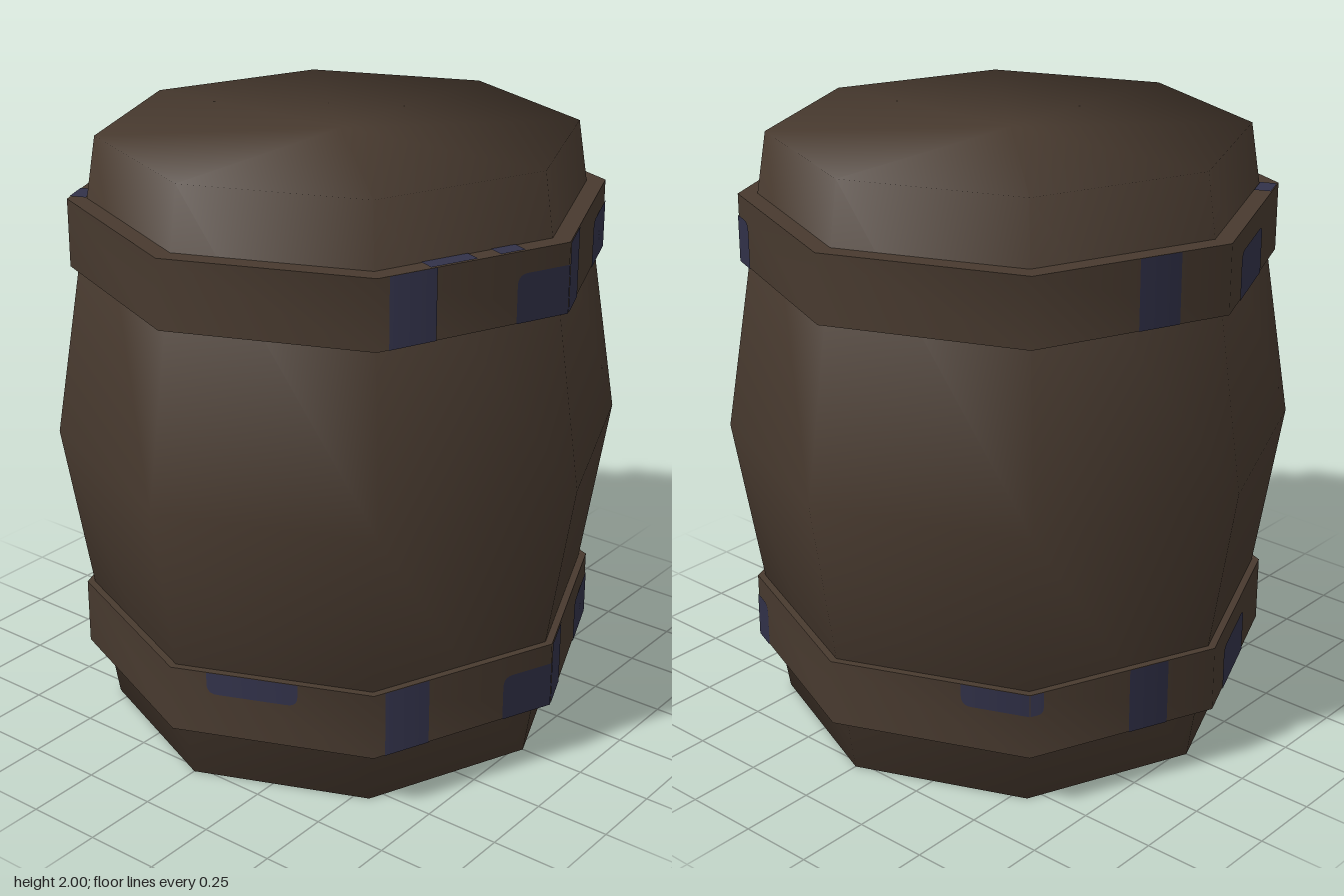
import * as THREE from 'three';
import { mergeVertices, toCreasedNormals } from 'three/addons/utils/BufferGeometryUtils.js';

const SIDES = 8;
const BAND_R = 0.87;
const HALF = Math.PI / SIDES;
const APOTHEM = BAND_R * Math.cos(HALF);
const WIDTH = 2 * BAND_R * Math.sin(HALF);

const wood = new THREE.MeshStandardMaterial({ color: 0x483a2f });
wood.name = 'dark wood';
const blue = new THREE.MeshStandardMaterial({ color: 0x32324a });
blue.name = 'navy patch';

// Eight-sided lathe with a corner on +z, welded so normals can be rebuilt
function octagonLathe(profile) {
  const points = profile.map(([r, y]) => new THREE.Vector2(r, y));
  const geo = new THREE.LatheGeometry(points, SIDES);
  geo.deleteAttribute('normal');
  geo.deleteAttribute('uv');
  const welded = mergeVertices(geo, 1e-4);
  welded.computeVertexNormals();
  return welded;
}

function addMesh(parent, name, geo, material) {
  const mesh = new THREE.Mesh(geo, material);
  mesh.name = name;
  parent.add(mesh);
  return mesh;
}

// Upright patch on one band facet; f0..f1 runs along the facet,
// round lists the rounded corners: tl, tr, bl, br
function facetPatch(f0, f1, y0, y1, round) {
  const a = (f0 - 0.5) * WIDTH, b = (f1 - 0.5) * WIDTH;
  const size = (corner) => (round.includes(corner) ? Math.min(0.035, (b - a) * 0.45) : 0);
  const [bl, br, tr, tl] = ['bl', 'br', 'tr', 'tl'].map(size);
  const s = new THREE.Shape();
  s.moveTo(a + bl, y0);
  s.lineTo(b - br, y0);
  if (br) s.quadraticCurveTo(b, y0, b, y0 + br);
  s.lineTo(b, y1 - tr);
  if (tr) s.quadraticCurveTo(b, y1, b - tr, y1);
  s.lineTo(a + tl, y1);
  if (tl) s.quadraticCurveTo(a, y1, a, y1 - tl);
  s.lineTo(a, y0 + bl);
  if (bl) s.quadraticCurveTo(a, y0, a + bl, y0);
  const geo = new THREE.ShapeGeometry(s, 5);
  // Bend the normals to follow the smooth shading of the band
  const pos = geo.attributes.position, normal = geo.attributes.normal;
  for (let i = 0; i < pos.count; i++) {
    const angle = (pos.getX(i) / (WIDTH / 2)) * HALF;
    normal.setXYZ(i, Math.sin(angle), 0, Math.cos(angle));
  }
  return geo.translate(0, 0, APOTHEM + 0.003);
}

// [facet, start, end, bottom, top, rounded corners], heights from the band's foot
const H = 0.225, LOW = 0.155, HIGH = 0.15;
const sharedPatches = [
  [1, 0.06, 0.30, 0, H, []],
  [1, 0.72, 1, 0, LOW, ['tl']],
  [2, 0, 0.23, 0, H, []],
  [2, 0.65, 1, 0, LOW, ['tl']],
  [3, 0, 0.14, 0, LOW, ['tr']],
  [5, 0.53, 0.74, 0, H, []],
  [6, 0.20, 0.63, 0, LOW, ['tl', 'tr']],
];
const lowerPatches = [
  [0, 0.18, 0.63, HIGH, H, ['bl', 'br']],
  [4, 0.66, 1, HIGH, H, ['bl']],
  [5, 0, 0.07, HIGH, H, ['br']],
];
// [facet, start, end] on the top ledge of the upper band
const ledgePatches = [[1, 0.27, 0.51], [1, 0.63, 0.76], [6, 0.83, 0.97]];

function makeBand(name, foot, patches, ledges) {
  const band = new THREE.Group();
  band.name = name;
  band.position.y = foot;
  const ring = octagonLathe([[0.76, 0], [BAND_R, 0], [BAND_R, H], [0.76, H]]);
  addMesh(band, 'bandRing', toCreasedNormals(ring, Math.PI / 3), wood);
  for (const [facet, f0, f1, y0, y1, round] of patches) {
    const patch = addMesh(band, 'bandPatch', facetPatch(f0, f1, y0, y1, round), blue);
    patch.rotation.y = (2 * facet + 1) * HALF;
  }
  for (const [facet, f0, f1] of ledges) {
    const geo = new THREE.PlaneGeometry((f1 - f0) * WIDTH, 0.055).rotateX(-Math.PI / 2);
    geo.translate(((f0 + f1) / 2 - 0.5) * WIDTH, H + 0.003, APOTHEM - 0.0285);
    const patch = addMesh(band, 'ledgePatch', geo, blue);
    patch.rotation.y = (2 * facet + 1) * HALF;
  }
  return band;
}

export function createModel() {
  const barrel = new THREE.Group();
  barrel.name = 'barrel';

  // Bulging body with closed ends, smooth across every edge
  const body = octagonLathe([[0, 0], [0.775, 0], [0.935, 1], [0.775, 2], [0, 2]]);
  addMesh(barrel, 'barrelBody', body, wood);

  // Two hoops
  barrel.add(makeBand('lowerBand', 0.21, [...sharedPatches, ...lowerPatches], []));
  barrel.add(makeBand('upperBand', 1.573, sharedPatches, ledgePatches));
  return barrel;
}
